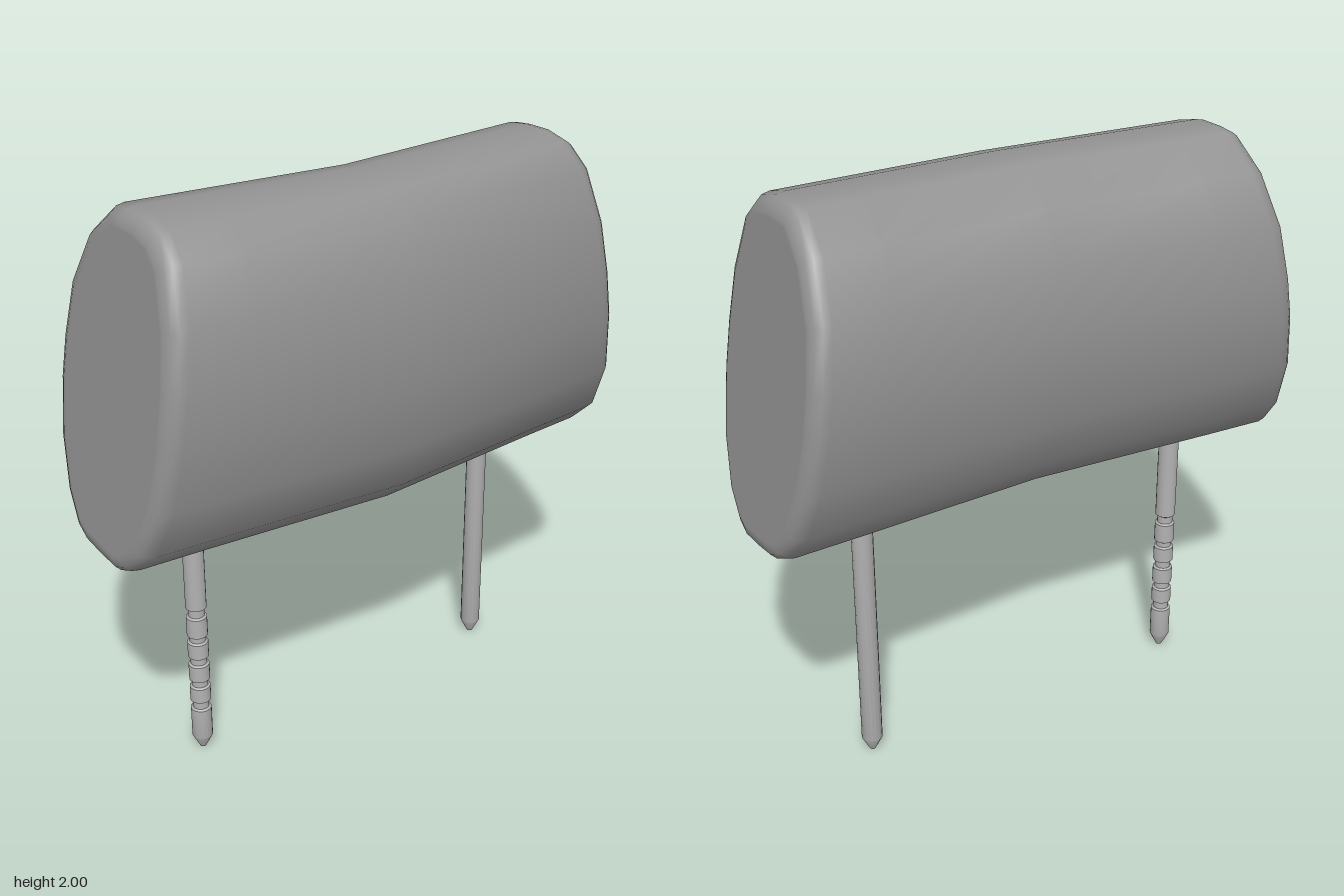
import * as THREE from 'three';
import { toCreasedNormals } from 'three/addons/utils/BufferGeometryUtils.js';

const cushionMaterial = new THREE.MeshStandardMaterial({ color: 0x929292 });
const postMaterial = new THREE.MeshStandardMaterial({ color: 0xb2b2b2 });

// Cushion cross-section [z, y], from the top over the back, bottom and front
const SECTION = [
  [-0.05, 2.0], [-0.12, 1.992], [-0.245, 1.888], [-0.336, 1.715], [-0.365, 1.53], [-0.37, 1.39],
  [-0.348, 1.2], [-0.284, 1.03], [-0.207, 0.932], [-0.14, 0.9], [-0.04, 0.888], [0.055, 0.884],
  [0.12, 0.91], [0.21, 0.993], [0.285, 1.165], [0.31, 1.38], [0.307, 1.54], [0.285, 1.72],
  [0.22, 1.9], [0.14, 1.975], [0.04, 2.0],
];

// Half width of the cushion: the slanted ends widen towards the bottom
const halfWidth = (y) => 0.967 - (y - 0.93) * 0.145;

// Rings along x: fraction of the width, distance back from the end, inset of the section
const HALF = [
  { f: 0.7, back: 0, inset: 0 },
  { f: 1, back: 0.058, inset: 0 },
  { f: 1, back: 0.03, inset: 0.006 },
  { f: 1, back: 0.01, inset: 0.023 },
  { f: 1, back: 0, inset: 0.048 },
  { f: 1, back: 0, inset: 0.062 },
];

function cushionGeometry() {
  const n = SECTION.length;
  const rings = [
    ...HALF.map((r) => ({ ...r, side: -1 })).reverse(),
    { f: 0, back: 0, inset: 0, side: 1 },
    ...HALF.map((r) => ({ ...r, side: 1 })),
  ];
  const pos = [];
  const index = [];
  for (const { f, back, inset, side } of rings) {
    for (let j = 0; j < n; j++) {
      const [z, y] = SECTION[j];
      const a = SECTION[(j + n - 1) % n];
      const b = SECTION[(j + 1) % n];
      const dz = b[0] - a[0];
      const dy = b[1] - a[1];
      const len = Math.hypot(dz, dy);
      const py = y + (dz / len) * inset;
      const pz = z - (dy / len) * inset;
      const x = f * (halfWidth(py) - back);
      const bow = Math.max(0, 1 - x / 0.87); // bowed forward in the middle
      pos.push(side * x, py - 0.008 * bow, pz + 0.062 * bow);
    }
  }
  for (let i = 0; i < rings.length - 1; i++) {
    for (let j = 0; j < n; j++) {
      const k = (j + 1) % n;
      const a = i * n + j, b = a + n, c = (i + 1) * n + k, d = i * n + k;
      index.push(a, b, c, a, c, d);
    }
  }
  // Flat end caps
  const last = (rings.length - 1) * n;
  const centre = pos.length / 3;
  pos.push(-halfWidth(1.45), 1.45, -0.03, halfWidth(1.45), 1.45, -0.03);
  for (let j = 0; j < n; j++) {
    const k = (j + 1) % n;
    index.push(centre, j, k, centre + 1, last + k, last + j);
  }
  const g = new THREE.BufferGeometry();
  g.setAttribute('position', new THREE.Float32BufferAttribute(pos, 3));
  g.setIndex(index);
  g.computeVertexNormals();
  return g;
}

// Turned post with a pointed foot; notches are [bottom, top] heights
function post(name, x, notches) {
  const R = 0.036, NECK = 0.028, S = 0.005;
  const pts = [[0, 0], [0.011, 0], [R, 0.05]];
  for (const [y0, y1] of notches) {
    pts.push([R, y0 - S], [NECK, y0], [NECK, y1], [R, y1 + S]);
  }
  pts.push([R, 1.0], [0, 1.0]);
  const lathe = new THREE.LatheGeometry(pts.map(([r, y]) => new THREE.Vector2(r, y)), 16);
  const mesh = new THREE.Mesh(toCreasedNormals(lathe, 0.5), postMaterial);
  mesh.name = name;
  mesh.position.set(x, 0, -0.067);
  return mesh;
}

export function createModel() {
  const group = new THREE.Group();
  group.name = 'headrest';
  const cushion = new THREE.Mesh(cushionGeometry(), cushionMaterial);
  cushion.name = 'cushion';
  group.add(
    cushion,
    post('leftPost', 0.615, []),
    post('rightNotchedPost', -0.616, [[0.17, 0.195], [0.26, 0.28], [0.35, 0.373], [0.44, 0.458], [0.54, 0.567]]),
  );
  return group;
}
